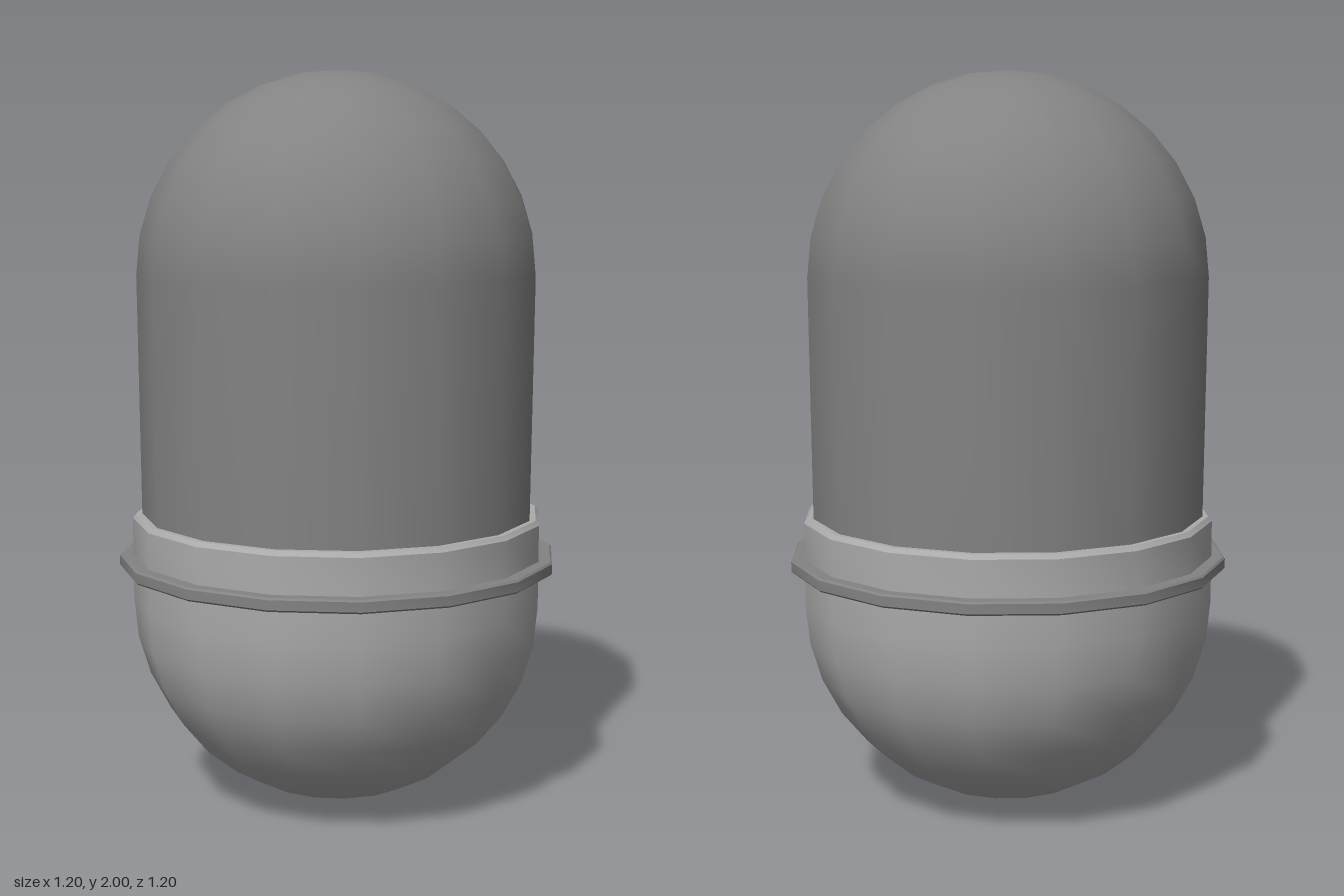
import * as THREE from 'three';
import { toCreasedNormals } from 'three/addons/utils/BufferGeometryUtils.js';

const SIDES = 16;
const paint = (color) => new THREE.MeshStandardMaterial({ color, side: THREE.DoubleSide });
const light = paint(0xababab);
const dark = paint(0x838383);

// Turns a profile of [radius, height] pairs, listed from bottom to top
function turned(name, material, profile, crease) {
  const points = profile.map(([r, y]) => new THREE.Vector2(r, y));
  let geometry = new THREE.LatheGeometry(points, SIDES);
  if (crease) geometry = toCreasedNormals(geometry, crease);
  // Poles point straight up or down so the caps shade evenly
  const { position, normal } = geometry.attributes;
  for (let i = 0; i < position.count; i++) {
    if (Math.hypot(position.getX(i), position.getZ(i)) < 1e-6) {
      normal.setXYZ(i, 0, Math.sign(normal.getY(i)), 0);
    }
  }
  const mesh = new THREE.Mesh(geometry, material);
  mesh.name = name;
  return mesh;
}

// Quarter circle from the pole to the rim; direction is 1 for a dome, -1 for a bowl
function quarter(radius, rimY, direction, steps = 8) {
  const out = [[0, rimY + direction * radius]];
  for (let i = 1; i <= steps; i++) {
    const a = (i / steps) * Math.PI / 2;
    out.push([radius * Math.sin(a), rimY + direction * radius * Math.cos(a)]);
  }
  return out;
}

export function createModel() {
  const group = new THREE.Group();
  group.name = 'capsule';

  // Hemispherical lower bowl with a short straight wall
  group.add(turned('lowerShell', light, [...quarter(0.565, 0.565, -1), [0.565, 0.67]]));

  // Tall dome, tapering very slightly towards the collar
  group.add(turned('upperDome', dark, [[0.538, 0.67], ...quarter(0.545, 1.455, 1).reverse()]));

  // Collar with a chamfered lip around the dome
  group.add(turned('collar', light, [[0.565, 0.67], [0.565, 0.79], [0.555, 0.802], [0.538, 0.802]], 0.6));

  // Thin flange around the seam
  group.add(turned('flange', dark, [
    [0.55, 0.655], [0.597, 0.655], [0.602, 0.66], [0.602, 0.686], [0.597, 0.691], [0.55, 0.691],
  ], 0.6));

  return group;
}
